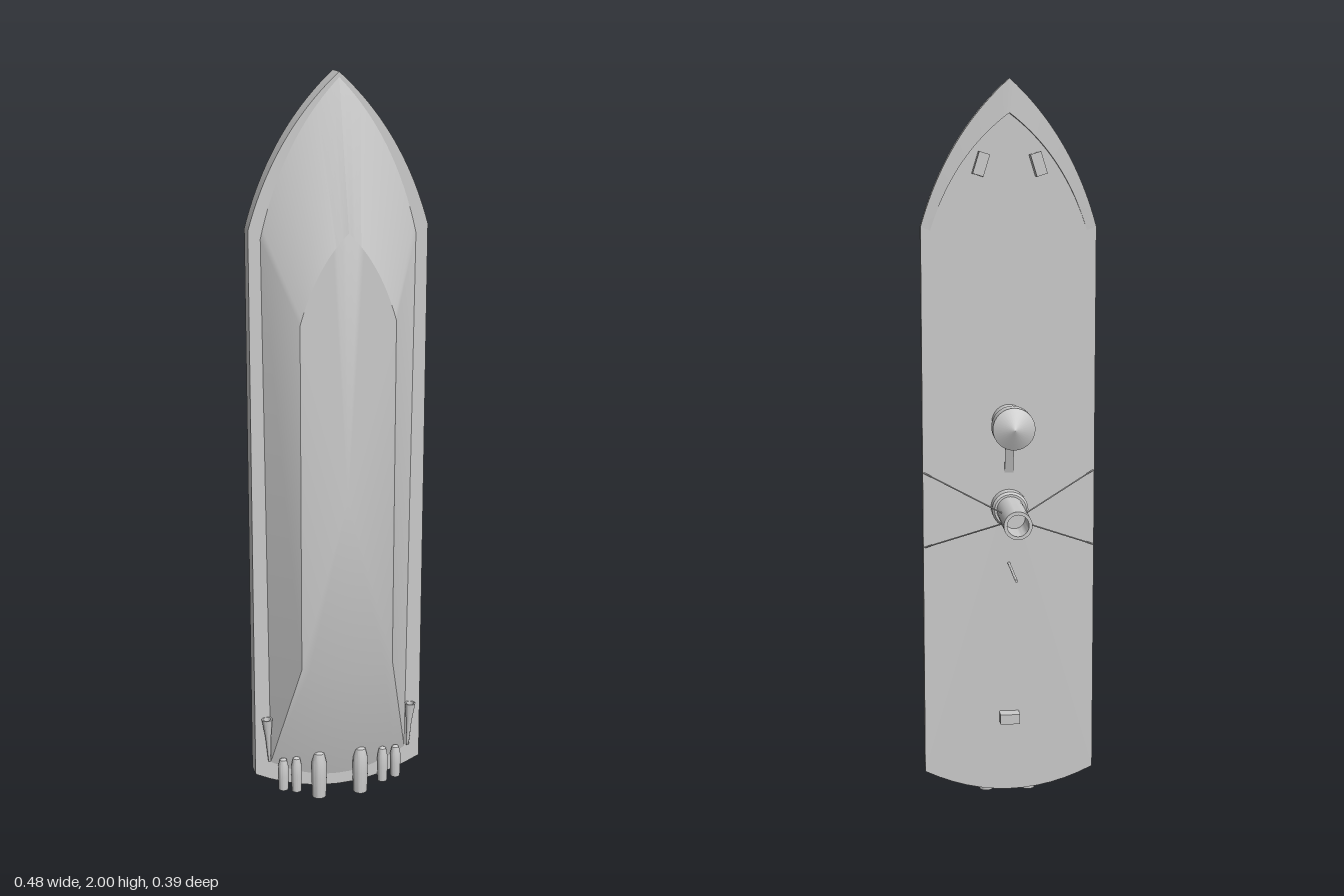
import * as THREE from 'three';
import { toCreasedNormals } from 'three/addons/utils/BufferGeometryUtils.js';

const grey = new THREE.MeshStandardMaterial({ color: 0xcccccc });
const greyDouble = new THREE.MeshStandardMaterial({ color: 0xcccccc, side: THREE.DoubleSide });
const DECK = 0.05, CHINE = 0.096, KEEL = 0.195;
const V = (x, y, z) => new THREE.Vector3(x, y, z);

// Bow curve from the +x shoulder over the tip to the -x shoulder
function bowCurve(w, shoulder, tip, cx, cy, n = 20) {
  const half = new THREE.QuadraticBezierCurve(
    new THREE.Vector2(w, shoulder), new THREE.Vector2(cx, cy), new THREE.Vector2(0, tip)).getPoints(n);
  const mirrored = half.slice(0, -1).reverse().map(p => new THREE.Vector2(-p.x, p.y));
  return [...half, ...mirrored];
}

// Closed boat plan: bow curve plus a gently rounded stern
function plan(bow, sternW, sternY, sternMid, n = 12) {
  const pts = [...bow];
  for (let i = 0; i <= n; i++) {
    const s = -1 + 2 * i / n;
    pts.push(new THREE.Vector2(s * sternW, sternMid + (sternY - sternMid) * s * s));
  }
  return pts;
}

// Skin between successive rows of points, optionally closed and capped
function skin(rows, closed, crease = 0.4) {
  const pos = [];
  const tri = (...ps) => ps.forEach(p => pos.push(p.x, p.y, p.z));
  const n = rows[0].length;
  for (let r = 0; r < rows.length - 1; r++) {
    for (let i = 0; i < (closed ? n : n - 1); i++) {
      const j = (i + 1) % n, a = rows[r], b = rows[r + 1];
      tri(a[i], a[j], b[j]);
      tri(a[i], b[j], b[i]);
    }
  }
  if (closed) {
    const first = rows[0], last = rows[rows.length - 1];
    for (let i = 0; i < n; i++) {
      const j = (i + 1) % n;
      tri(V(0, 0.9, first[0].z), first[j], first[i]);
      tri(V(0, 0.9, last[0].z), last[i], last[j]);
    }
  }
  const g = new THREE.BufferGeometry();
  g.setAttribute('position', new THREE.Float32BufferAttribute(pos, 3));
  return toCreasedNormals(g, crease);
}

export function createModel() {
  const model = new THREE.Group();
  const add = (name, geometry, x = 0, y = 0, z = 0, material = grey) => {
    const m = new THREE.Mesh(geometry, material);
    m.name = name;
    m.position.set(x, y, z);
    model.add(m);
    return m;
  };
  const lift = (pts, z) => pts.map(p => V(p.x, p.y, z));
  const turned = (profile, seg = 32) =>
    toCreasedNormals(new THREE.LatheGeometry(profile.map(p => new THREE.Vector2(...p)), seg), 0.4);
  // Thin round bar between two points
  const bar = (name, a, b, r) => {
    const m = add(name, new THREE.CylinderGeometry(r, r, a.distanceTo(b), 8));
    m.position.copy(a).add(b).multiplyScalar(0.5);
    m.quaternion.setFromUnitVectors(V(0, 1, 0), b.clone().sub(a).normalize());
  };

  // Hull: straight topsides, narrow chine ledge, tapered flat bottom
  const outerBow = bowCurve(0.238, 1.61, 2, 0.17, 1.85);
  const deckPlan = plan(outerBow, 0.238, 0.08, 0.02);
  const chinePlan = plan(bowCurve(0.207, 1.59, 1.99, 0.15, 1.84), 0.195, 0.11, 0.05);
  const keelPlan = plan(bowCurve(0.127, 1.38, 1.61, 0.085, 1.53), 0.127, 0.43, 0.4);
  add('topsides', skin([lift(deckPlan, DECK), lift(deckPlan, CHINE)], true));
  add('lowerHull', skin([lift(chinePlan, CHINE - 0.001), lift(keelPlan, KEEL)], true));

  // Bulwark rising toward the bow tip
  const innerBow = bowCurve(0.212, 1.6, 1.91, 0.15, 1.8);
  const rise = outerBow.map(p => DECK - 0.02 * (p.y - 1.61) / 0.39);
  const rim = pts => pts.map((p, i) => V(p.x, p.y, rise[i]));
  add('bowBulwark', skin([lift(innerBow, DECK), rim(innerBow), rim(outerBow), lift(outerBow, DECK)], false),
    0, 0, 0, greyDouble);

  // Deck blocks
  for (const s of [-1, 1]) {
    add('bowBlock', new THREE.BoxGeometry(0.03, 0.061, 0.042), s * 0.077, 1.776, 0.031).rotation.z = s * 0.3;
  }
  add('sternBlock', new THREE.BoxGeometry(0.055, 0.028, 0.04), 0, 0.238, 0.032);

  // Capped turret with a sloping plank
  add('turret', turned([[0, 0], [0.047, 0], [0.047, 0.097], [0.057, 0.097], [0.057, 0.145], [0, 0.172]]),
    0, 1.08, DECK).rotation.x = -Math.PI / 2;
  const plank = add('plank', new THREE.BoxGeometry(0.024, 0.125, 0.005), 0, 0.998, 0.034);
  plank.rotation.x = -0.26;

  // Hollow funnel with a collar
  add('funnel', turned([[0, 0], [0.05, 0], [0.05, 0.038], [0.044, 0.046], [0.038, 0.046],
    [0.038, 0.25], [0.029, 0.25], [0.029, 0.15], [0, 0.15]]), 0, 0.84, DECK).rotation.x = -Math.PI / 2;

  // Guy wires and pole
  for (const s of [-1, 1]) {
    for (const [deckY, topY] of [[0.94, 0.855], [0.73, 0.825]]) {
      bar('guyWire', V(s * 0.235, deckY, DECK), V(s * 0.034, topY, -0.1), 0.002);
    }
  }
  bar('pole', V(0, 0.68, DECK), V(0, 0.68, -0.155), 0.004);

  // Stern nozzles and side scoops
  for (const s of [-1, 1]) {
    for (const [x, y, h, r] of [[0.06, 0, 0.14, 0.022], [0.125, 0.025, 0.105, 0.015], [0.163, 0.035, 0.095, 0.015]]) {
      add('nozzle', turned([[0, h * 0.15], [r * 0.6, h * 0.15], [r * 0.75, 0], [r * 0.9, 0], [r, h * 0.45],
        [r * 0.95, h * 0.75], [r * 0.65, h * 0.95], [0, h]], 20), s * x, y, 0.114);
    }
    const scoop = add('sideScoop', turned([[0, 0], [0.004, 0], [0.008, 0.075], [0.015, 0.13],
      [0.011, 0.13], [0.006, 0.09], [0, 0.09]], 20), s * 0.2, 0.122, 0.108);
    scoop.rotation.z = -s * 0.05;
  }
  return model;
}
